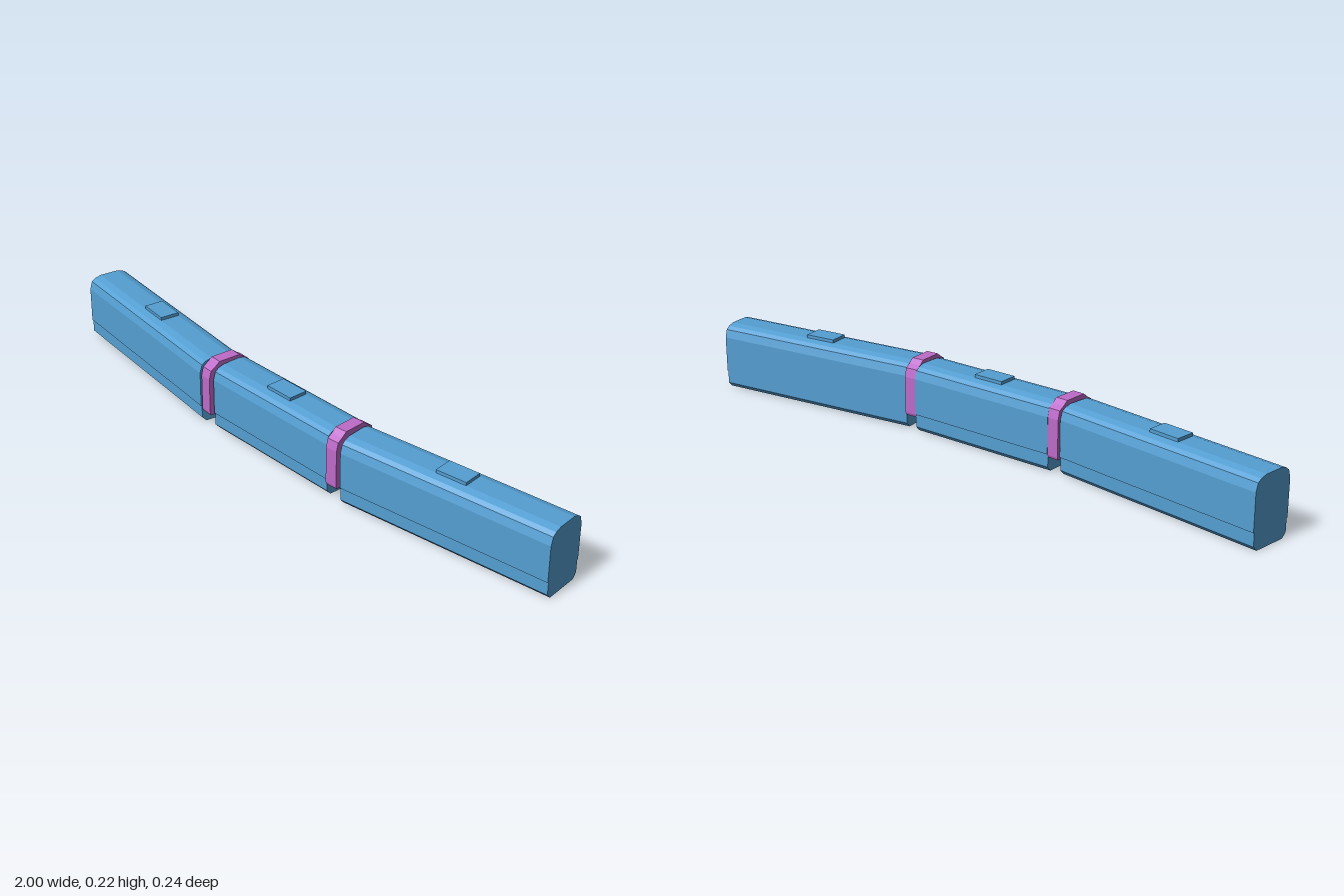
import * as THREE from 'three';

// Right half of each cross-section, bottom to top: [half width, height]
const BODY = [[0.054, 0], [0.068, 0.015], [0.068, 0.055], [0.0715, 0.056], [0.0715, 0.17], [0.064, 0.195], [0.052, 0.204], [0.031, 0.21]];
const GAITER = [[0.073, 0.047], [0.076, 0.055], [0.076, 0.17], [0.069, 0.197], [0.053, 0.207], [0.037, 0.22]];

// Symmetric prism running along x
function prism(half, length) {
  const right = half.map(([x, y]) => new THREE.Vector2(x, y));
  const left = half.map(([x, y]) => new THREE.Vector2(-x, y)).reverse();
  const geo = new THREE.ExtrudeGeometry(new THREE.Shape([...right, ...left]), { depth: length, bevelEnabled: false });
  geo.translate(0, 0, -length / 2);
  geo.rotateY(Math.PI / 2);
  return geo;
}

export function createModel() {
  const model = new THREE.Group();
  const blue = new THREE.MeshStandardMaterial({ color: 0x559fd3 });
  blue.name = 'body blue';
  const pink = new THREE.MeshStandardMaterial({ color: 0xbd6bc9 });
  pink.name = 'gaiter pink';
  const bend = THREE.MathUtils.degToRad(7.6);

  // Carriage body with a flat roof unit
  function addCarriage(name, length, x, z, turn) {
    const car = new THREE.Group();
    car.name = name;
    const body = new THREE.Mesh(prism(BODY, length), blue);
    body.name = 'carriageBody';
    const unit = new THREE.Mesh(new THREE.BoxGeometry(0.1, 0.014, 0.062), blue);
    unit.name = 'roofUnit';
    unit.position.y = 0.213;
    car.add(body, unit);
    car.position.set(x, 0, z);
    car.rotation.y = turn;
    model.add(car);
  }

  addCarriage('middleCarriage', 0.5, 0, 0.039, 0);

  // End carriages swing back, with a gaiter at each joint
  for (const [side, s] of [['left', 1], ['right', -1]]) {
    addCarriage(side + 'Carriage', 0.696, s * 0.6455, -0.003, s * bend);
    const gaiter = new THREE.Mesh(prism(GAITER, 0.04), pink);
    gaiter.name = side + 'Gaiter';
    gaiter.position.set(s * 0.273, 0, 0.043);
    gaiter.rotation.y = s * bend / 2;
    model.add(gaiter);
  }
  return model;
}
